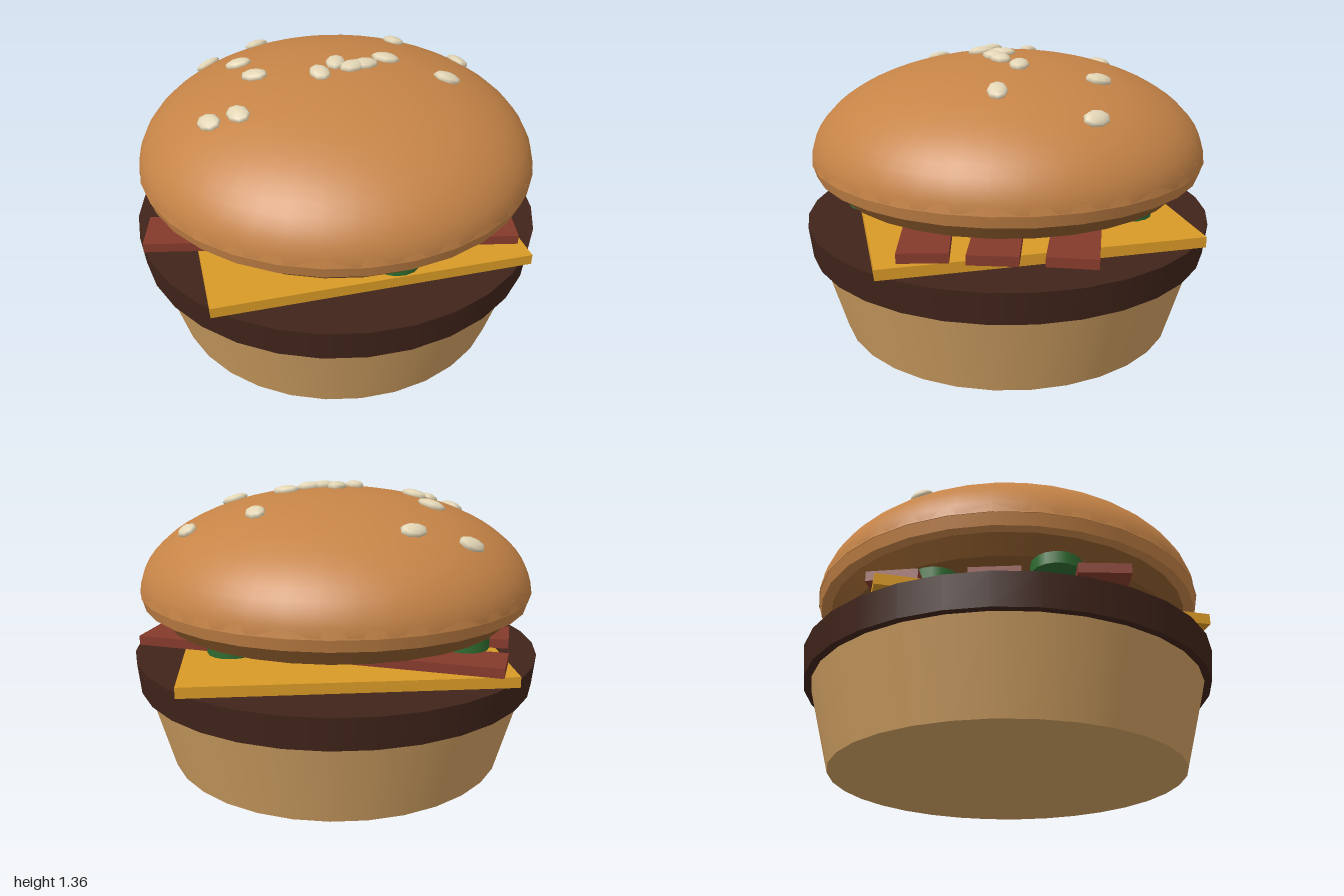
import * as THREE from 'three';

const material = (color) => new THREE.MeshStandardMaterial({ color });
const BUN = material(0xc68447), BASE = material(0xd0a062), CRUMB = material(0x8b5a2b);
const PATTY = material(0x40241a), CHEESE = material(0xd99a26), BACON = material(0x853a2b);
const PICKLE = material(0x2f6b30), SEED = material(0xe2d5b5);

// Dome of the top bun: half ellipsoid
const DOME = { y: 0.86, radius: 0.955, height: 0.47 };

export function createModel() {
  const model = new THREE.Group();

  const add = (name, geometry, mat, x = 0, y = 0, z = 0, turn = 0) => {
    const mesh = new THREE.Mesh(geometry, mat);
    mesh.name = name;
    mesh.position.set(x, y, z);
    mesh.rotation.y = turn;
    model.add(mesh);
    return mesh;
  };
  // Tapered round layer between two heights
  const layer = (name, mat, rBottom, rTop, y0, y1) =>
    add(name, new THREE.CylinderGeometry(rTop, rBottom, y1 - y0, 32), mat, 0, (y0 + y1) / 2);

  layer('bottomBun', BASE, 0.84, 0.95, 0, 0.4);
  layer('patty', PATTY, 0.985, 1, 0.4, 0.55);

  // Square cheese slice, turned so its corners hang over the patty
  add('cheese', new THREE.BoxGeometry(1.475, 0.05, 1.475), CHEESE, 0, 0.575, 0, 0.312);

  // Bacon strips: z, turn
  const strip = new THREE.BoxGeometry(1.73, 0.045, 0.22);
  [[0.37, 0.095], [0, 0.003], [-0.375, -0.053]].forEach(([z, turn]) =>
    add('baconStrip', strip, BACON, 0, 0.627, z, turn));

  // Pickle slices: x, z
  const slice = new THREE.CylinderGeometry(0.11, 0.11, 0.055, 16);
  [[0.3, 0.625], [-0.76, 0.255], [-0.67, -0.27], [-0.555, 0.11],
    [-0.14, 0.5], [0.345, -0.58], [0.32, -0.25]].forEach(([x, z]) =>
    add('pickleSlice', slice, PICKLE, x, 0.683, z));

  // Top bun: cut underside, rim and dome
  layer('topBunUnderside', CRUMB, 0.84, 0.89, 0.715, 0.8);
  layer('topBunRim', BUN, 0.94, 0.955, 0.8, 0.855);
  layer('topBunBand', BUN, 0.958, 0.95, 0.855, 0.905);
  const dome = add('topBunDome',
    new THREE.SphereGeometry(1, 40, 16, 0, Math.PI * 2, 0, Math.PI / 2), BUN, 0, DOME.y);
  dome.scale.set(DOME.radius, DOME.height, DOME.radius);

  // Sesame seeds lying on the dome: x, z, heading in degrees seen from above
  const seedShape = new THREE.SphereGeometry(1, 8, 6);
  const up = new THREE.Vector3(0, 1, 0);
  const seeds = [
    [-0.445, -0.46, -45], [-0.685, -0.35, -35], [0.27, -0.43, 60], [0.605, -0.415, 50],
    [-0.475, -0.075, 5], [-0.37, 0.105, 20], [0.23, -0.07, 5], [0.52, 0.005, -5],
    [0, 0.03, 90], [-0.065, 0.135, 65], [0.135, 0.025, -30], [0.08, 0.06, -40],
    [-0.53, 0.405, 40], [-0.4, 0.4, 45],
  ];
  for (const [x, z, heading] of seeds) {
    const rise = Math.sqrt(1 - (x * x + z * z) / DOME.radius ** 2);
    const normal = new THREE.Vector3(x / DOME.radius ** 2, rise / DOME.height, z / DOME.radius ** 2).normalize();
    const seed = add('sesameSeed', seedShape, SEED, x, DOME.y + DOME.height * rise + 0.006, z);
    seed.scale.set(0.068, 0.024, 0.047);
    seed.quaternion.setFromUnitVectors(up, normal)
      .multiply(new THREE.Quaternion().setFromAxisAngle(up, -THREE.MathUtils.degToRad(heading)));
  }

  return model;
}
